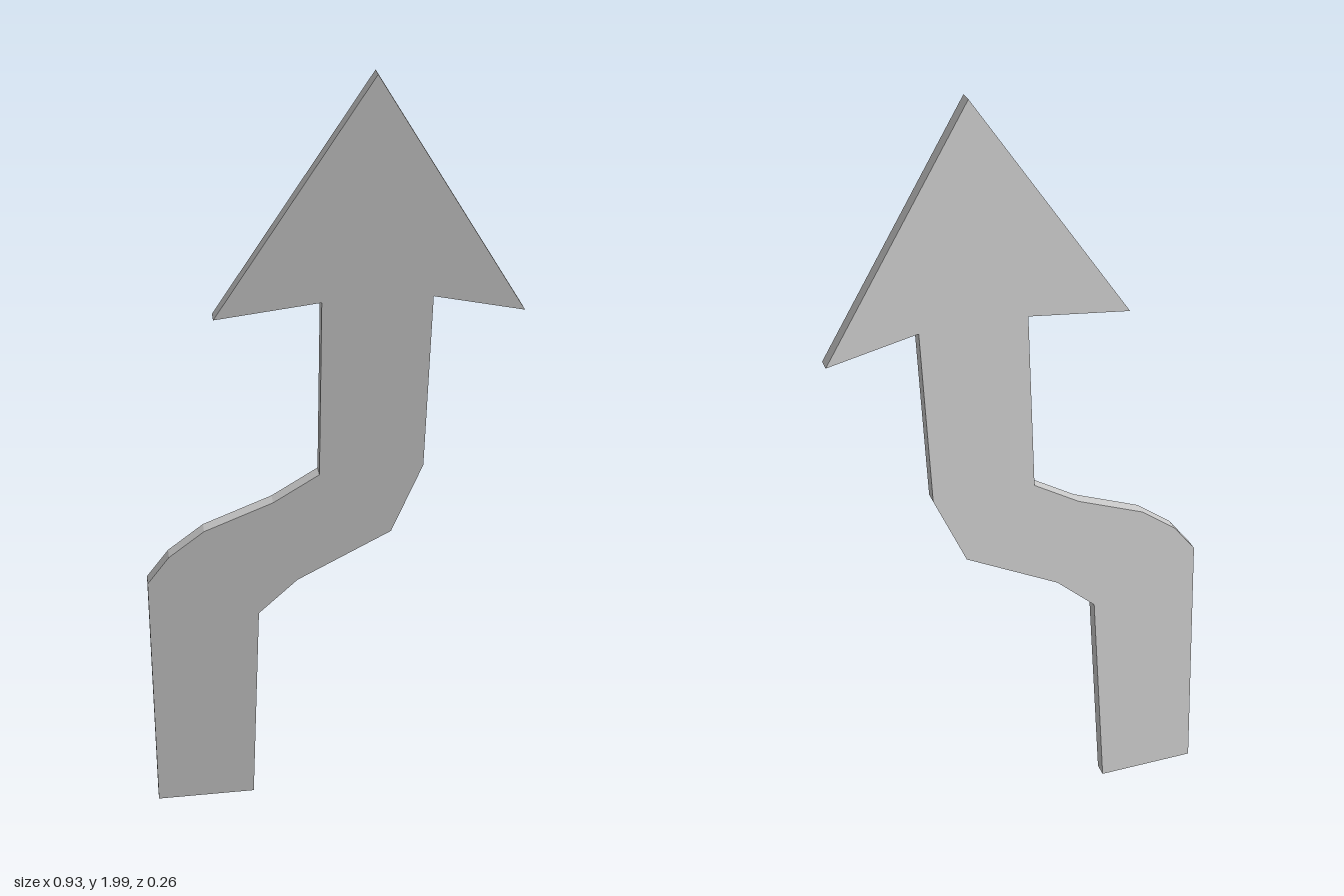
import * as THREE from 'three';

export function createModel() {
  const group = new THREE.Group();
  const tilt = Math.atan(0.11);
  const thickness = 0.037;

  // Front outline of the winding shaft and arrowhead, clockwise from the foot
  const outline = [
    [-0.46, 0.01], [-0.466, 0.705], [-0.41, 0.78], [-0.32, 0.85],
    [-0.146, 0.922], [-0.03, 0.995], [-0.03, 1.458],
    [-0.287, 1.425], [0.089, 2.0], [0.463, 1.418],
    [0.238, 1.463], [0.232, 1.007], [0.156, 0.82],
    [-0.083, 0.69], [-0.183, 0.595], [-0.2, 0.014],
  ];
  const shape = new THREE.Shape(
    outline.map(([x, y]) => new THREE.Vector2(x, (y - 1) / Math.cos(tilt)))
  );

  // Flat plate leaning forward at the top
  const geometry = new THREE.ExtrudeGeometry(shape, { depth: thickness, bevelEnabled: false });
  geometry.translate(0, 0, -thickness / 2);
  geometry.rotateX(tilt);
  geometry.translate(0, 1, 0);

  const arrow = new THREE.Mesh(
    geometry,
    new THREE.MeshStandardMaterial({ color: 0xcccccc, flatShading: true })
  );
  arrow.name = 'windingArrow';
  group.add(arrow);
  return group;
}
